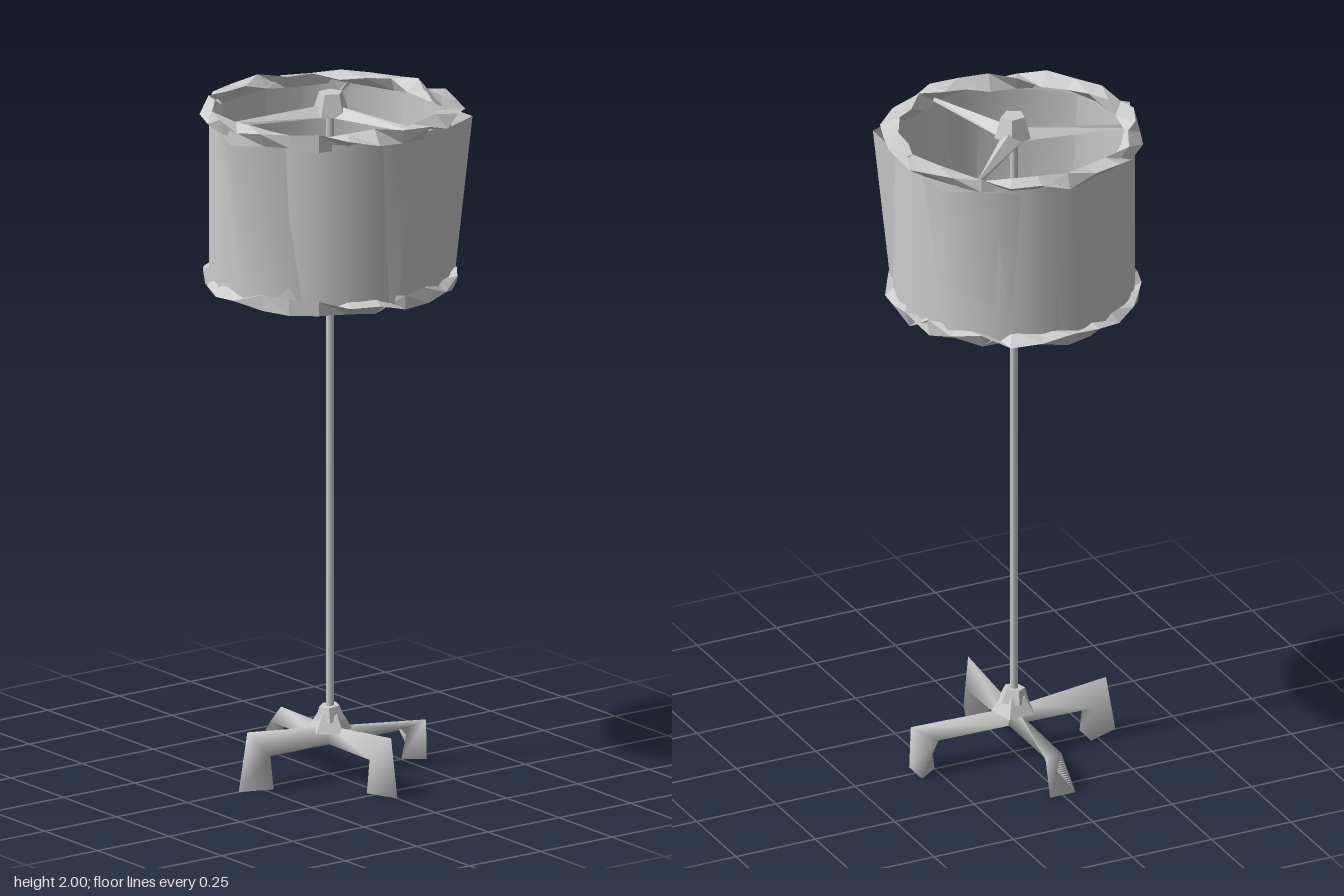
import * as THREE from 'three';

const smooth = new THREE.MeshStandardMaterial({ color: 0xcccccc, side: THREE.DoubleSide });
const faceted = new THREE.MeshStandardMaterial({ color: 0xcccccc, side: THREE.DoubleSide, flatShading: true });

// Skin a list of cross-sections (each an equal-length list of [x, y, z])
function loft(sections, { closed = false, caps = false } = {}) {
  const n = sections[0].length, count = sections.length, index = [];
  const at = (i, j) => (i % count) * n + (j % n);
  for (let i = 0; i < (closed ? count : count - 1); i++) {
    for (let j = 0; j < n; j++) {
      const a = at(i, j), b = at(i, j + 1), c = at(i + 1, j), d = at(i + 1, j + 1);
      index.push(a, c, b, b, c, d);
    }
  }
  if (caps) {
    for (let j = 1; j < n - 1; j++) {
      index.push(0, j, j + 1, at(count - 1, 0), at(count - 1, j + 1), at(count - 1, j));
    }
  }
  const geometry = new THREE.BufferGeometry();
  geometry.setAttribute('position', new THREE.Float32BufferAttribute(sections.flat(2), 3));
  geometry.setIndex(index);
  geometry.computeVertexNormals();
  return geometry;
}

function seeded(seed) {
  return () => {
    seed = (seed * 16807) % 2147483647;
    return seed / 2147483647;
  };
}

// Ragged twisted trim around a shade rim; spike = angle of one long outward tip
function trimGeometry(y, seed, spike) {
  const random = seeded(seed), steps = 26, sections = [];
  for (let i = 0; i < steps; i++) {
    const theta = (i / steps) * Math.PI * 2;
    const twist = (random() - 0.5) * 2.2;
    const mid = 0.338 + (random() - 0.5) * 0.012;
    const size = 0.026 + random() * 0.012;
    const tip = Math.abs(theta - spike) < Math.PI / steps ? 0.035 : 0;
    const section = [];
    for (let j = 0; j < 3; j++) {
      const phi = twist - (j / 3) * Math.PI * 2;
      const r = mid + Math.cos(phi) * size + (Math.cos(phi) > 0.4 ? tip : 0);
      section.push([r * Math.cos(theta), y + Math.sin(phi) * size * 0.8, r * Math.sin(theta)]);
    }
    sections.push(section);
  }
  return loft(sections, { closed: true });
}

export function createModel() {
  const model = new THREE.Group();
  const add = (name, geometry, material = smooth) => {
    const mesh = new THREE.Mesh(geometry, material);
    mesh.name = name;
    model.add(mesh);
    return mesh;
  };

  // Legs: straight ridged pair (front, left) and twisted pair (back, right)
  const start = [[0, 0.14, 0], [0, 0.1, -0.03], [0, 0.1, 0.03]];
  const ridged = loft([
    start,
    [[0.29, 0.17, 0], [0.235, 0.1, -0.035], [0.235, 0.1, 0.035]],
    [[0.32, 0, 0], [0.225, 0, -0.037], [0.225, 0, 0.037]],
  ], { caps: true });
  const twisted = loft([
    start,
    [[0.3, 0.12, 0.05], [0.25, 0.1, -0.025], [0.25, 0.1, 0.03]],
    [[0.31, 0, 0.04], [0.31, 0, -0.04], [0.25, 0, 0]],
  ], { caps: true });
  add('leftLeg', ridged);
  add('frontLeg', ridged).rotation.y = -Math.PI / 2;
  add('rightLeg', twisted).rotation.y = Math.PI;
  add('backLeg', twisted).rotation.y = Math.PI / 2;

  // Base collar
  const collar = add('baseCollar', new THREE.CylinderGeometry(0.035, 0.065, 0.05, 5), faceted);
  collar.position.y = 0.155;
  collar.rotation.y = 0.3;
  const collarTop = add('baseCollarTop', new THREE.CylinderGeometry(0.03, 0.045, 0.04, 5), faceted);
  collarTop.position.y = 0.182;
  collarTop.rotation.set(0.1, 0.9, 0);

  // Pole
  add('pole', new THREE.CylinderGeometry(0.012, 0.012, 1.82, 8)).position.y = 1.03;

  // Shade: round wall plus an uneven outer shell that pokes through in places
  add('shadeWall', new THREE.CylinderGeometry(0.342, 0.342, 0.48, 32, 1, true)).position.y = 1.7;
  const shellPlan = [
    // top x, top z, bottom x, bottom z
    [0.07, 0.4, 0.07, 0.355], [0.23, 0.24, 0.22, 0.26], [0.355, 0.03, 0.345, 0.03],
    [0.31, -0.15, 0.31, -0.15], [0.23, -0.33, 0.2, -0.29], [-0.2, -0.33, -0.18, -0.3],
    [-0.31, -0.15, -0.3, -0.16], [-0.35, 0.02, -0.355, 0.03], [-0.27, 0.21, -0.27, 0.21],
    [-0.07, 0.34, -0.07, 0.34],
  ];
  add('shadeOuterPanels', loft([
    shellPlan.map((p) => [p[2], 1.46, p[3]]),
    shellPlan.map((p) => [p[0], 1.925, p[1]]),
  ]));

  // Trim on both rims
  add('topTrim', trimGeometry(1.947, 77, -1), faceted);
  add('bottomTrim', trimGeometry(1.463, 4242, Math.PI * 1.5), faceted);

  // Tapered spokes holding the shade
  [[-0.235, -0.24], [0.315, -0.095], [-0.08, 0.315]].forEach(([x, z], i) => {
    const length = Math.hypot(x, z);
    const spoke = add('shadeSpoke' + (i + 1), loft([
      [[0, 1.965, 0], [0, 1.935, -0.034], [0, 1.935, 0.034]],
      [[length, 1.94, 0], [length, 1.93, -0.004], [length, 1.93, 0.004]],
    ], { caps: true }), faceted);
    spoke.rotation.y = Math.atan2(-z, x);
  });

  // Finial
  const finial = add('finial', new THREE.CylinderGeometry(0.035, 0.055, 0.065, 5), faceted);
  finial.position.set(0.005, 1.9675, 0);
  finial.rotation.y = 0.4;

  return model;
}
